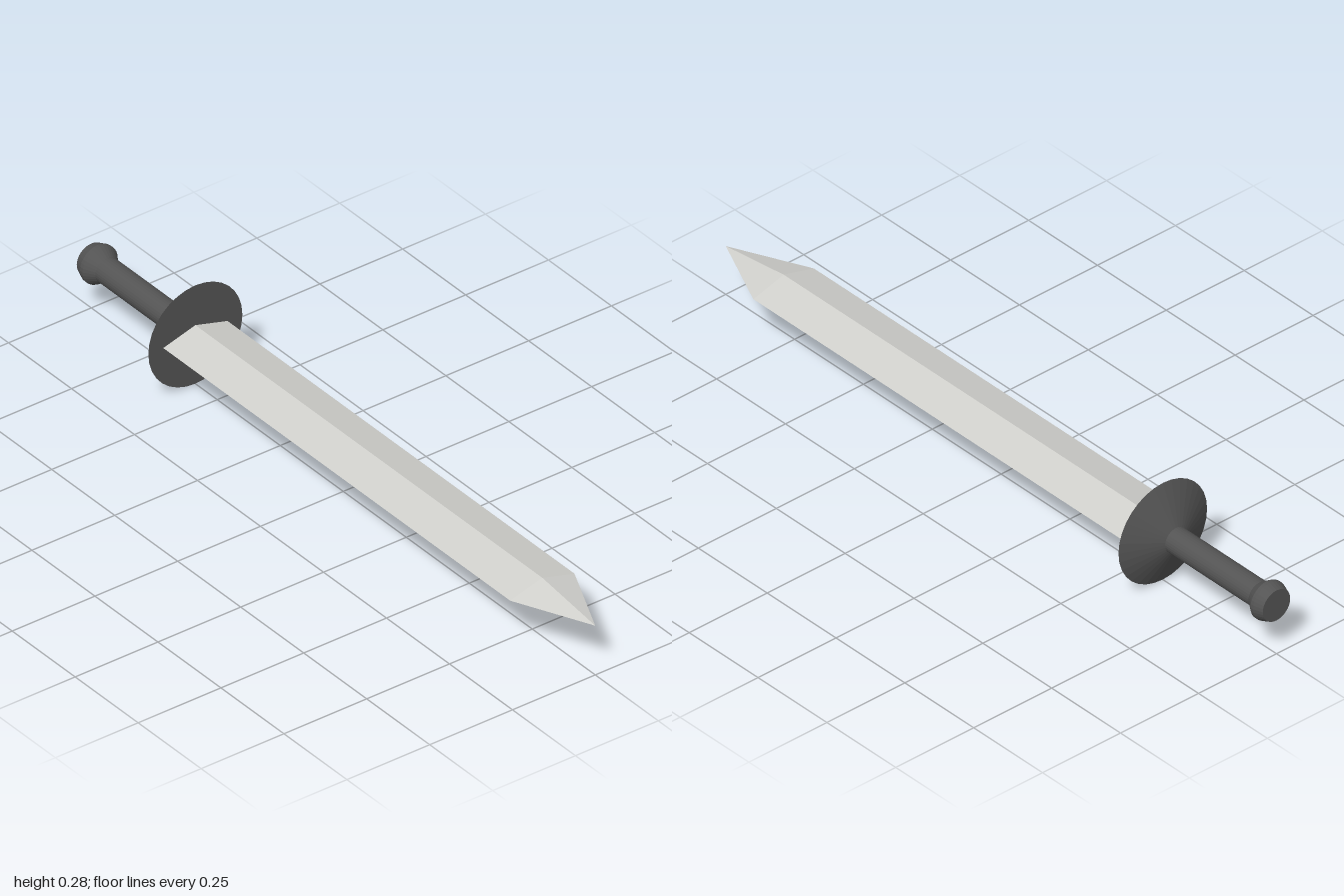
import * as THREE from 'three';

const AXIS_Y = 0.143; // height of the sword's long axis
const GUARD_X = -0.587, SHOULDER_X = 0.79, TIP_X = 1;
const SIDES = 32;

export function createModel() {
  const sword = new THREE.Group();
  sword.name = 'sword';

  const steel = new THREE.MeshStandardMaterial({ color: 0xd0d0cc, flatShading: true });
  steel.name = 'pale steel';
  const iron = new THREE.MeshStandardMaterial({ color: 0x545454, flatShading: true });
  iron.name = 'dark iron';

  const add = (name, geometry, material) => {
    const mesh = new THREE.Mesh(geometry, material);
    mesh.name = name;
    mesh.position.y = AXIS_Y;
    sword.add(mesh);
  };

  // Turned parts: [radius, x] profiles revolved about the long axis
  const turned = (name, profile) => {
    const points = profile.map(([r, x]) => new THREE.Vector2(r, x));
    add(name, new THREE.LatheGeometry(points, SIDES).rotateZ(-Math.PI / 2), iron);
  };
  turned('pommel', [[0, -1], [0.044, -1], [0.053, -0.975], [0.053, -0.965], [0.035, -0.938]]);
  turned('grip', [[0.035, -0.938], [0.035, -0.635]]);
  turned('guard', [[0.035, -0.635], [0.142, GUARD_X], [0, GUARD_X]]);

  // Diamond-section blade: a four-sided prism and a four-sided point
  const bladePart = (name, x0, x1, tipRadius) => {
    const geometry = new THREE.CylinderGeometry(tipRadius, 1, x1 - x0, 4, 1, true);
    geometry.rotateZ(-Math.PI / 2).scale(1, 0.027, 0.097).translate((x0 + x1) / 2, 0, 0);
    add(name, geometry, steel);
  };
  bladePart('blade', GUARD_X, SHOULDER_X, 1);
  bladePart('bladePoint', SHOULDER_X, TIP_X, 0);

  return sword;
}
